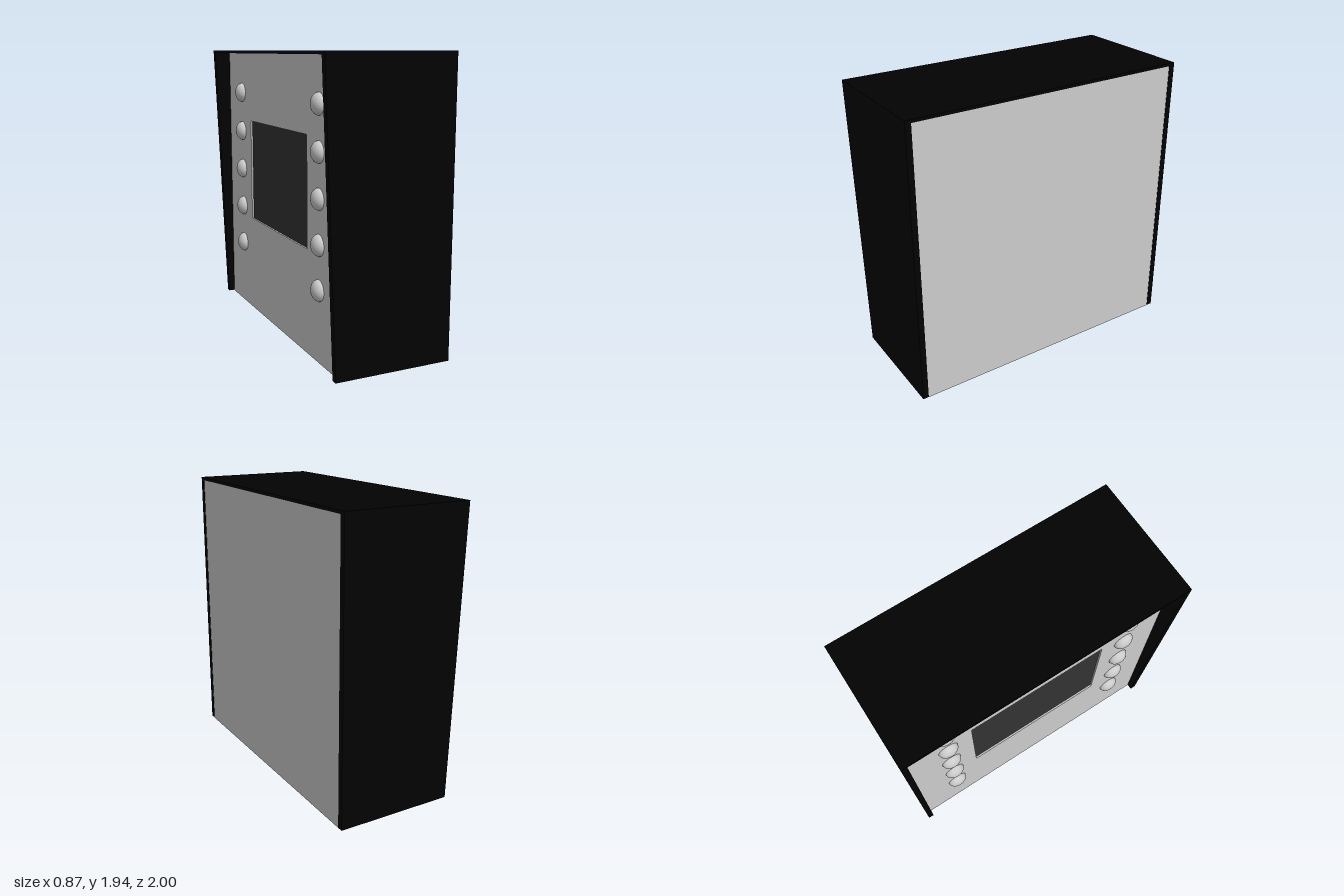
import * as THREE from 'three';

const black = new THREE.MeshStandardMaterial({ color: 0x020202 });
const grey = new THREE.MeshStandardMaterial({ color: 0xcccccc });
const glass = new THREE.MeshStandardMaterial({ color: 0x333333 });

const RIGHT = 0.436, TOP = 1.94, WALL = 0.04, LID = 0.02;
const PANEL_X = -0.32, RECESS = 0.015, INNER_Z = 1 - WALL;

function add(parent, name, geometry, material, x = 0, y = 0, z = 0) {
  const mesh = new THREE.Mesh(geometry, material);
  mesh.name = name;
  mesh.position.set(x, y, z);
  parent.add(mesh);
  return mesh;
}

function polygon(points) {
  return new THREE.Shape(points.map(([x, y]) => new THREE.Vector2(x, y)));
}

function rectangle(w, y0, y1) {
  return [[-w, y0], [w, y0], [w, y1], [-w, y1]];
}

export function createModel() {
  const group = new THREE.Group();
  group.name = 'controlCabinet';

  // Black casing: two side walls with a leaning edge, and a lid
  const wallShape = polygon([[-0.362, 0.004], [RIGHT, 0.004], [RIGHT, TOP], [-0.436, TOP]]);
  const wall = new THREE.ExtrudeGeometry(wallShape, { depth: WALL, bevelEnabled: false });
  add(group, 'frontWall', wall, black, 0, 0, INNER_Z);
  add(group, 'backWall', wall, black, 0, 0, -1);
  add(group, 'lid', new THREE.BoxGeometry(0.872, LID, 2 * INNER_Z), black, 0, TOP - LID / 2, 0);

  // Grey body between the walls
  const bodyLeft = PANEL_X + RECESS, bodyRight = RIGHT - 0.003, bodyTop = TOP - LID;
  add(group, 'body', new THREE.BoxGeometry(bodyRight - bodyLeft, bodyTop, 2 * INNER_Z), grey,
    (bodyLeft + bodyRight) / 2, bodyTop / 2, 0);

  // Control panel with a window for the recessed screen
  const panelShape = polygon(rectangle(INNER_Z, 0, bodyTop));
  panelShape.holes.push(polygon(rectangle(0.5, 0.7, 1.43)));
  const panel = new THREE.ExtrudeGeometry(panelShape, { depth: RECESS, bevelEnabled: false });
  panel.rotateY(-Math.PI / 2);
  add(group, 'controlPanel', panel, grey, bodyLeft, 0, 0);
  add(group, 'screen', new THREE.BoxGeometry(0.006, 0.73, 1), glass, bodyLeft, 1.065, 0);

  // Two columns of domed buttons
  const dome = new THREE.SphereGeometry(0.07, 24, 12, 0, Math.PI * 2, 0, Math.PI / 2);
  dome.rotateZ(Math.PI / 2);
  dome.scale(0.72, 1, 1);
  for (const z of [-0.68, 0.68]) {
    for (let i = 0; i < 5; i++) {
      add(group, 'button', dome, grey, PANEL_X, 1.63 - i * 0.288, z);
    }
  }
  return group;
}
